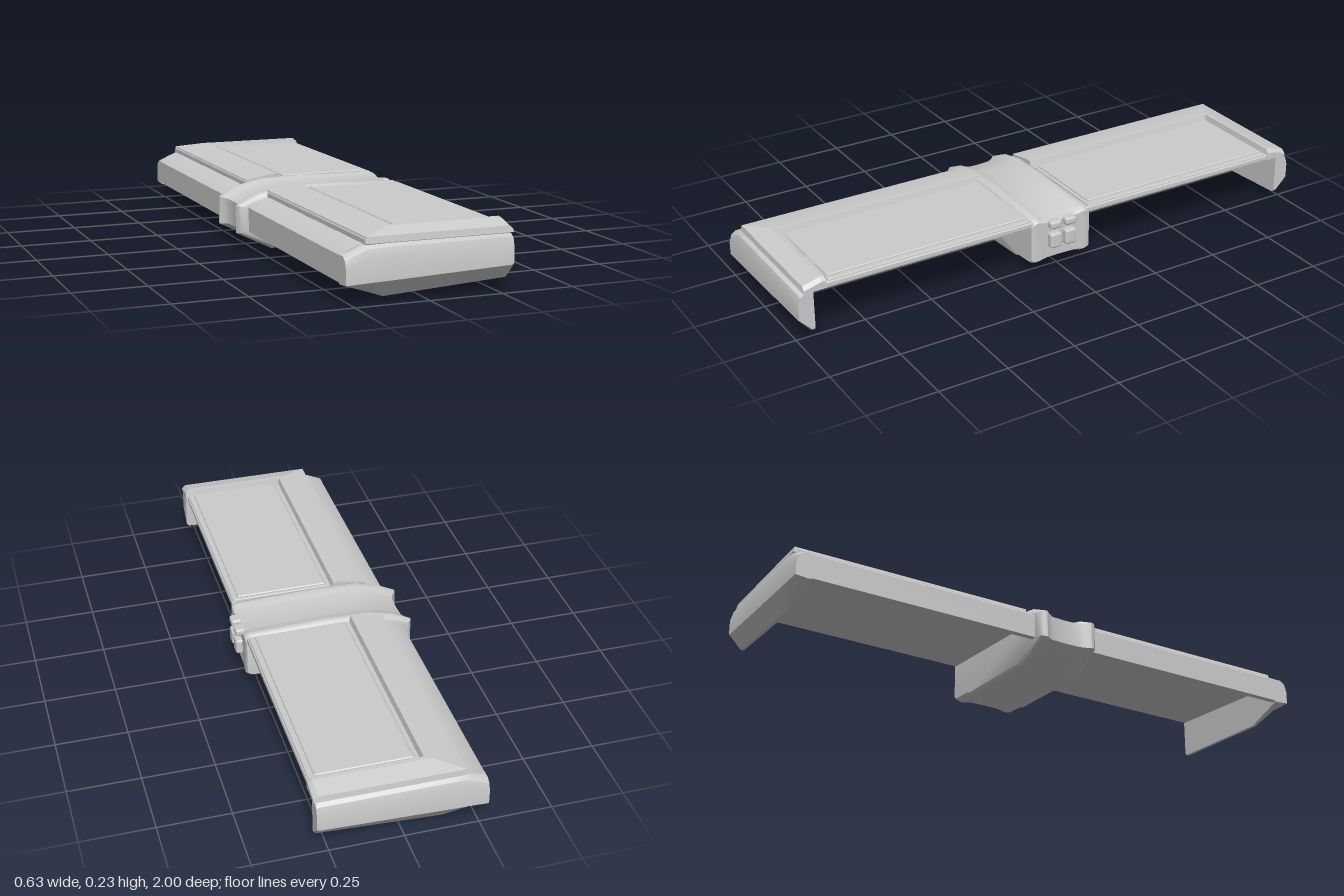
import * as THREE from 'three';
import { toCreasedNormals } from 'three/addons/utils/BufferGeometryUtils.js';
import { RoundedBoxGeometry } from 'three/addons/geometries/RoundedBoxGeometry.js';

const material = new THREE.MeshStandardMaterial({ color: 0xcccccc });

function add(parent, name, geometry, x = 0, y = 0, z = 0) {
  const mesh = new THREE.Mesh(geometry, material);
  mesh.name = name;
  mesh.position.set(x, y, z);
  parent.add(mesh);
  return mesh;
}

// Skins closed rings of [x, y, z] points, caps both ends and faces them outward
function loft(rings, crease = 0.6) {
  const tris = [];
  const n = rings[0].length;
  for (let r = 0; r < rings.length - 1; r++) {
    for (let i = 0; i < n; i++) {
      const j = (i + 1) % n;
      const [a, b, c, d] = [rings[r][i], rings[r][j], rings[r + 1][j], rings[r + 1][i]];
      tris.push([a, b, c], [a, c, d]);
    }
  }
  const first = rings[0], last = rings[rings.length - 1];
  for (let i = 1; i < n - 1; i++) {
    tris.push([first[0], first[i + 1], first[i]], [last[0], last[i], last[i + 1]]);
  }
  let volume = 0;
  const v = tris.map((t) => t.map((p) => new THREE.Vector3(...p)));
  for (const [a, b, c] of v) volume += a.dot(b.clone().cross(c));
  const points = v.flatMap(([a, b, c]) => (volume < 0 ? [a, c, b] : [a, b, c]));
  const geometry = new THREE.BufferGeometry().setFromPoints(points);
  geometry.computeVertexNormals();
  return toCreasedNormals(geometry, crease);
}

const toShape = (pts) => new THREE.Shape(pts.map(([x, y]) => new THREE.Vector2(x, y)));

// One half of the span, running outward along +z
function createWing(name, inner) {
  const wing = new THREE.Group();
  wing.name = name;

  // Roof with a turned-down leading lip
  const section = toShape([
    [0.285, 0.19], [-0.205, 0.19], [-0.25, 0.175], [-0.28, 0.155], [-0.28, 0.07],
    [-0.262, 0.068], [-0.215, 0.14], [0.285, 0.183],
  ]);
  const roof = new THREE.ExtrudeGeometry(section, { depth: 0.9, bevelEnabled: false });
  add(wing, 'roofAndLeadingLip', toCreasedNormals(roof, 0.6), 0, 0, 0.06);

  // End skirt: upright above a fold, then tucked inward to its lower edge
  const stations = [
    // x, top, fold, bottom
    [-0.28, 0.157, 0.07, 0.066],
    [-0.21, 0.187, 0.073, 0.042],
    [-0.14, 0.19, 0.075, 0.018],
    [0.28, 0.19, 0.09, 0.042],
    [0.288, 0.186, 0.094, 0.05],
  ];
  add(wing, 'endSkirt', loft(stations.map(([x, top, fold, bottom]) => [
    [x, top, 0.945], [x, top, 0.975], [x, top - 0.012, 0.992], [x, top - 0.04, 1],
    [x, fold, 1], [x, bottom, 0.957], [x, bottom, 0.945],
  ])));

  // Thin deck on the roof
  const deckLength = 0.98 - inner;
  add(wing, 'deck', new RoundedBoxGeometry(0.5, 0.022, deckLength, 2, 0.006),
    0.04, 0.196, inner + deckLength / 2);

  // L-shaped rim that climbs to a ridge, mitred at the corner
  const profile = [[0, 0.19], [0.004, 0.211], [0.1, 0.228], [0.122, 0.228], [0.13, 0.2]];
  const across = (d) => 0.982 - d * 0.65;
  const rimEnd = (x, drop) =>
    profile.map(([d, y]) => [x, Math.max(0.19, y - drop), across(d)]);
  add(wing, 'rim', loft([
    profile.map(([d, y]) => [-0.21 + d, y, inner]),
    profile.map(([d, y]) => [-0.21 + d, y, across(d)]),
    rimEnd(0.28, 0),
    rimEnd(0.294, 0.012),
  ], 0.2));

  // Panel plate with a slim raised border
  const x0 = -0.068, x1 = 0.285, z0 = inner + 0.008, z1 = 0.89;
  add(wing, 'panel', new RoundedBoxGeometry(x1 - x0, 0.016, z1 - z0, 2, 0.004),
    (x0 + x1) / 2, 0.205, (z0 + z1) / 2);
  const rectangle = (inset) => [
    [-0.058 + inset, -z0 - 0.014 - inset], [0.262 - inset, -z0 - 0.014 - inset],
    [0.262 - inset, -0.882 + inset], [-0.058 + inset, -0.882 + inset],
  ];
  const border = toShape(rectangle(0));
  border.holes.push(toShape(rectangle(0.013)));
  const borderGeometry = new THREE.ExtrudeGeometry(border, {
    depth: 0.005, bevelSize: 0.003, bevelThickness: 0.003, bevelSegments: 1,
  });
  borderGeometry.rotateX(-Math.PI / 2);
  add(wing, 'panelBorder', borderGeometry, 0, 0.211, 0);
  return wing;
}

export function createModel() {
  const model = new THREE.Group();
  model.name = 'wing';

  const left = createWing('frontWing', 0.12);
  const right = createWing('backWing', 0.1);
  right.scale.z = -1;
  model.add(left, right);

  // Central hub: a band with two raised edges and a shallow waist
  const outline = [
    [-0.318, 0.162], [-0.318, 0.064], [-0.19, 0.001], [0.18, 0.025], [0.2, 0.034],
    [0.28, 0.041], [0.295, 0.052], [0.295, 0.2], [0.28, 0.213], [0, 0.221],
    [-0.16, 0.217], [-0.245, 0.198],
  ];
  const steps = [
    // z from the hub centre, amount pulled in
    [-0.118, 1.3], [-0.112, 0.55], [-0.1, 0.05], [-0.09, 0], [-0.075, 0.5], [-0.055, 0.9],
    [0, 1], [0.055, 0.9], [0.075, 0.5], [0.09, 0], [0.1, 0.05], [0.112, 0.55], [0.118, 1.3],
  ];
  add(model, 'hub', loft(steps.map(([z, pull]) => outline.map(([x, y]) => [
    x < 0 ? x * (1 - 0.08 * pull) : x * (1 - 0.01 * pull),
    0.11 + (y - 0.11) * (1 - 0.1 * pull),
    z + 0.01,
  ])), 0.7));

  // Two by two rear blocks
  for (const z of [-0.02, 0.04]) {
    add(model, 'upperBlock', new RoundedBoxGeometry(0.04, 0.028, 0.045, 3, 0.009), 0.296, 0.186, z);
    add(model, 'lowerBlock', new RoundedBoxGeometry(0.04, 0.057, 0.045, 3, 0.009), 0.296, 0.126, z);
  }
  return model;
}
